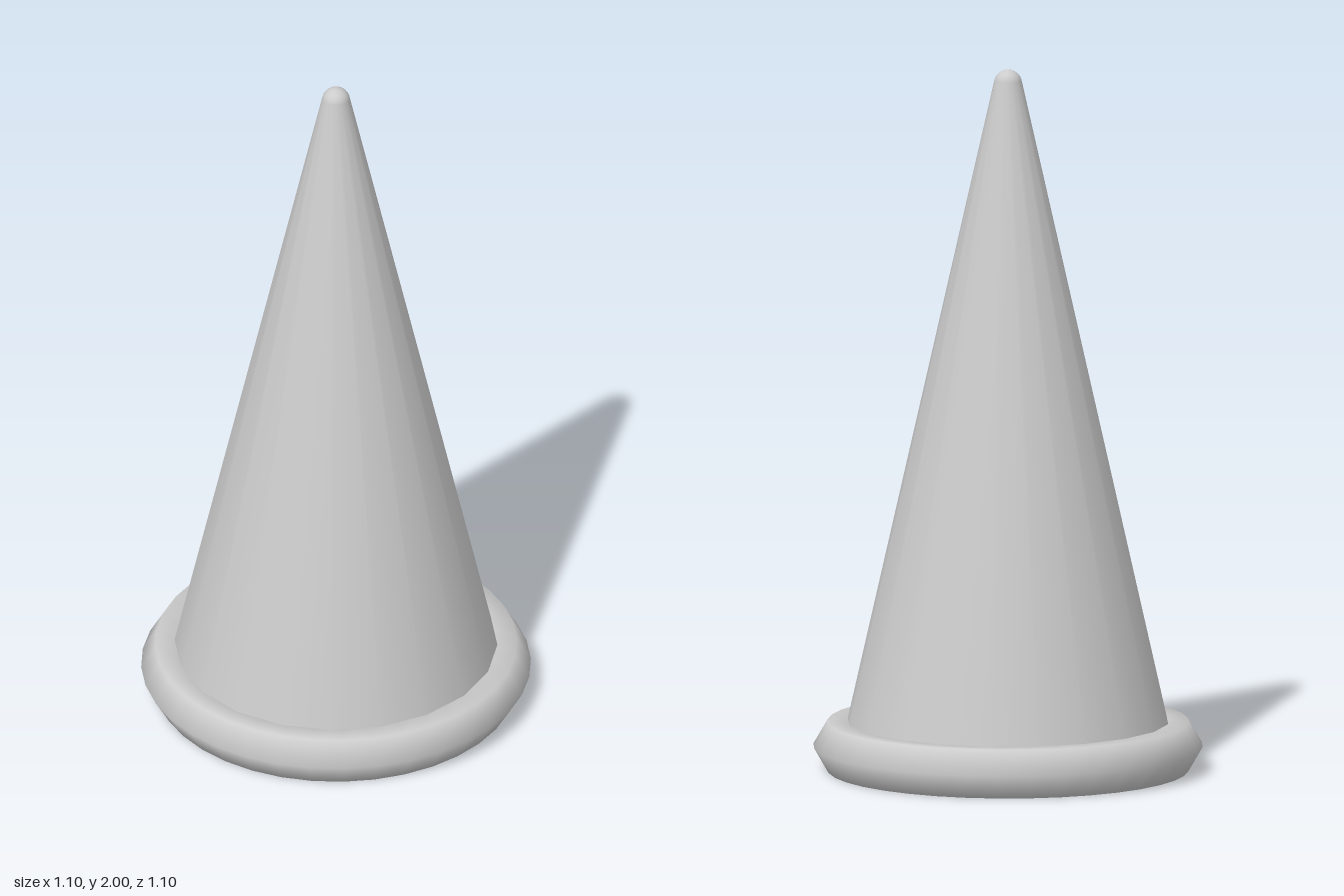
import * as THREE from 'three';

export function createModel() {
  const group = new THREE.Group();
  const material = new THREE.MeshStandardMaterial({ color: 0xcccccc });
  const shellMaterial = new THREE.MeshStandardMaterial({ color: 0xcccccc, side: THREE.DoubleSide });

  // Hollow cone, open below, with a small rounded tip tangent to the wall
  const tipRadius = 0.04, tipY = 2 - tipRadius, slope = 0.224;
  const profile = [new THREE.Vector2(0.471, 0.07)];
  const steps = 6;
  for (let i = 0; i <= steps; i++) {
    const a = THREE.MathUtils.lerp(slope, Math.PI / 2, i / steps);
    const r = i === steps ? 0 : tipRadius * Math.cos(a);
    profile.push(new THREE.Vector2(r, tipY + tipRadius * Math.sin(a)));
  }
  const cone = new THREE.Mesh(new THREE.LatheGeometry(profile, 20), shellMaterial);
  cone.name = 'cone';
  group.add(cone);

  // Six-sided ring around the foot of the cone
  const tube = 0.08;
  const ring = new THREE.Mesh(new THREE.TorusGeometry(0.47, tube, 6, 36).rotateX(-Math.PI / 2), material);
  ring.position.y = tube * Math.sin(Math.PI / 3);
  ring.name = 'baseRing';
  group.add(ring);

  return group;
}
